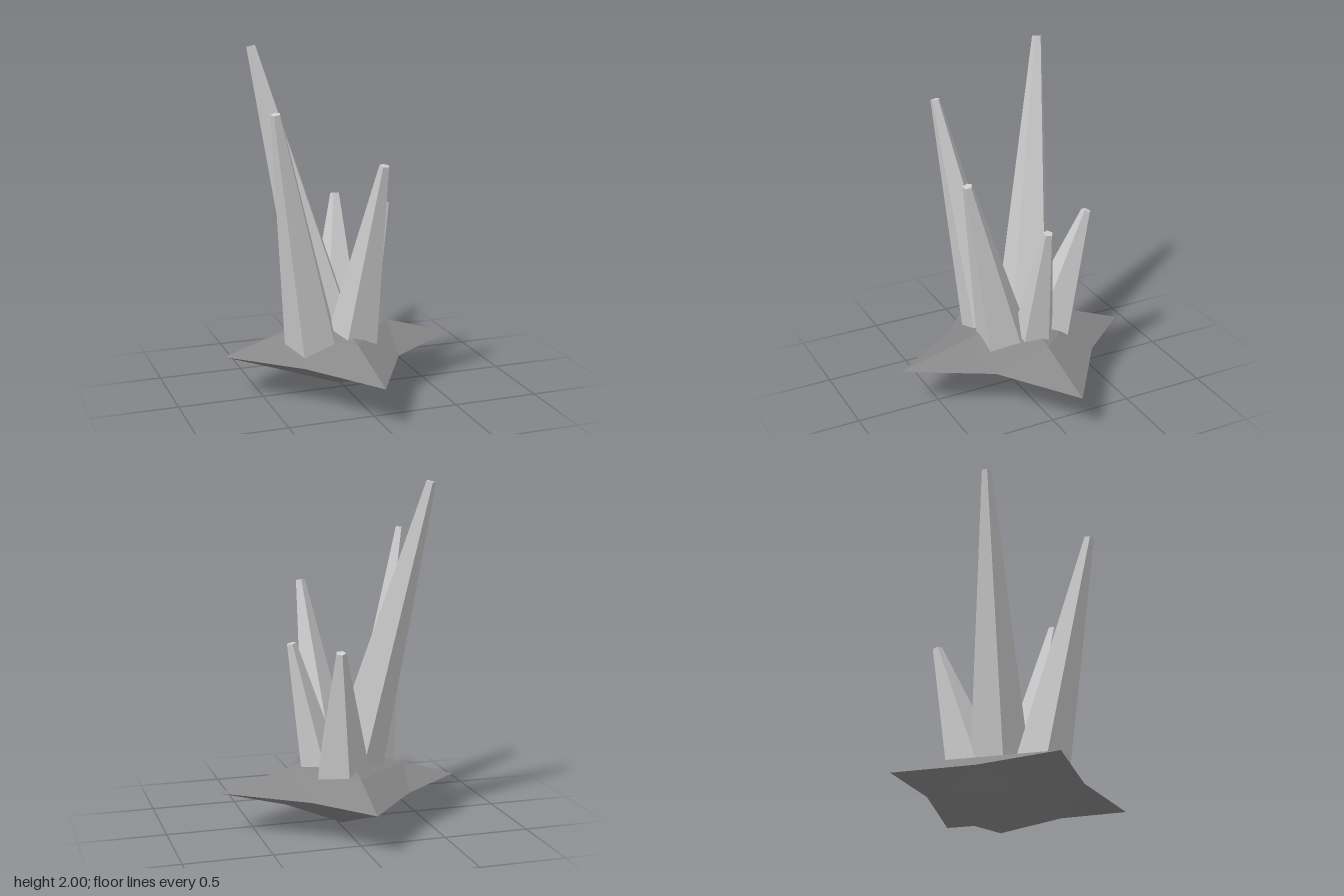
import * as THREE from 'three';

const CX = -0.02, CZ = -0.075; // axis shared by the rock and the crystals

// Faceted rock: an octahedron whose faces are each split in four, with uneven edge midpoints
function rockGeometry() {
  const tips = [[0.705, 0.24, CZ], [CX, 0.24, 0.722], [-0.71, 0.24, CZ], [CX, 0.24, -0.725]];
  const rim = [[0.25, 0.24, 0.24], [-0.33, 0.24, 0.275], [-0.33, 0.24, -0.37], [0.25, 0.24, -0.4]];
  const halves = [
    { apex: [CX, 0.45, CZ], mids: [[0.3, 0.36, CZ], [CX, 0.35, 0.29], [-0.4, 0.335, CZ], [CX, 0.36, -0.43]] },
    { apex: [CX, 0, CZ], mids: [[0.32, 0.14, CZ], [CX, 0.14, 0.3], [-0.41, 0.138, CZ], [CX, 0.14, -0.45]] },
  ];
  const pos = [];
  halves.forEach(({ apex, mids }, h) => {
    for (let i = 0; i < 4; i++) {
      const j = (i + 1) % 4;
      const tris = [
        [tips[i], mids[i], rim[i]],
        [rim[i], mids[j], tips[j]],
        [rim[i], mids[i], mids[j]],
        [mids[i], apex, mids[j]],
      ];
      for (const t of tris) pos.push(...(h ? [t[0], t[2], t[1]] : t).flat());
    }
  });
  const g = new THREE.BufferGeometry();
  g.setAttribute('position', new THREE.Float32BufferAttribute(pos, 3));
  g.computeVertexNormals();
  return g;
}

// Five-sided tapered shard running from base point to tip point
function shard(base, tip, radius, material) {
  const axis = tip.clone().sub(base);
  const g = new THREE.CylinderGeometry(0.029, radius, axis.length(), 5);
  g.rotateY(Math.PI);
  const m = new THREE.Mesh(g, material);
  m.position.copy(base).add(tip).multiplyScalar(0.5);
  m.quaternion.setFromUnitVectors(new THREE.Vector3(0, 1, 0), axis.normalize());
  return m;
}

export function createModel() {
  const group = new THREE.Group();
  const crystalMat = new THREE.MeshStandardMaterial({ color: 0xcccccc, flatShading: true });
  const rockMat = new THREE.MeshStandardMaterial({ color: 0x888888, flatShading: true });

  const rock = new THREE.Mesh(rockGeometry(), rockMat);
  rock.name = 'rockBase';
  group.add(rock);

  // Crystals fan out every 72 degrees: [base offset, tip offset, tip height, base radius]
  const crystals = [
    [0.12, 0.3, 1.082, 0.135],
    [0.157, 0.435, 1.385, 0.165],
    [0.235, 0.57, 1.688, 0.165],
    [0.045, 0.51, 1.993, 0.18],
    [0.135, 0.37, 1.08, 0.175],
  ];
  crystals.forEach(([r0, r1, h, radius], i) => {
    const a = (i * 2 * Math.PI) / 5;
    const at = (r, y) => new THREE.Vector3(CX + r * Math.cos(a), y, CZ + r * Math.sin(a));
    const m = shard(at(r0, 0.28), at(r1, h), radius, crystalMat);
    m.name = 'crystal' + (i + 1);
    group.add(m);
  });
  return group;
}
